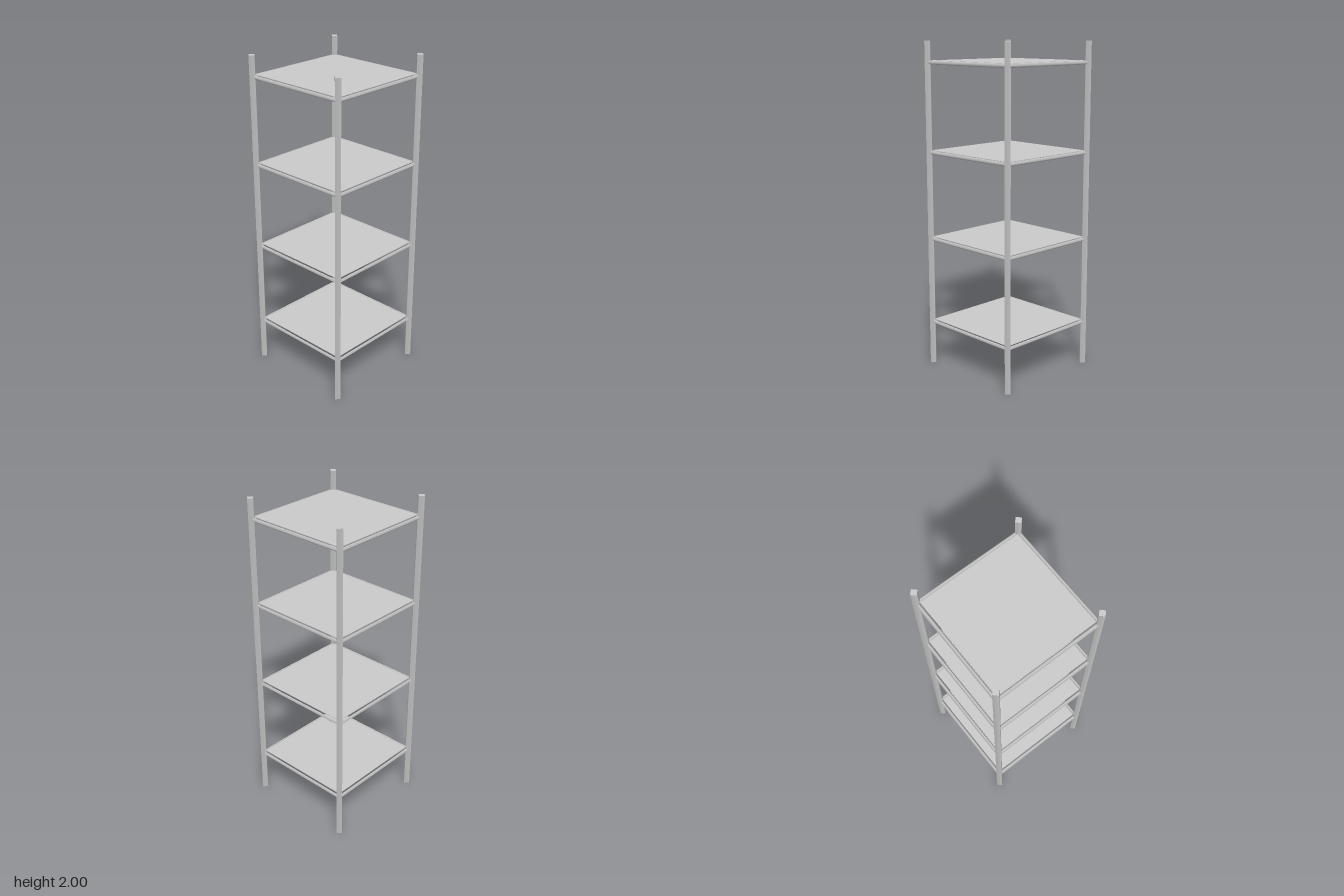
import * as THREE from 'three';

const HALF = 0.334;           // post centre offset from the middle
const SHELF_YS = [0.27, 0.805, 1.34, 1.874];

export function createModel() {
  const group = new THREE.Group();
  const material = new THREE.MeshStandardMaterial({ color: 0xcccccc });

  const add = (name, geometry, x, y, z) => {
    const mesh = new THREE.Mesh(geometry, material);
    mesh.name = name;
    mesh.position.set(x, y, z);
    group.add(mesh);
    return mesh;
  };

  // Four-sided corner posts, set diagonally, with smooth sides
  const post = new THREE.CylinderGeometry(0.0234, 0.0234, 2, 4);
  for (const x of [-1, 1]) {
    for (const z of [-1, 1]) {
      add(`${z > 0 ? 'front' : 'back'}${x > 0 ? 'Left' : 'Right'}Post`, post, x * HALF, 1, z * HALF);
    }
  }

  // Each tier: four diamond-section rails and a thin panel level with their tops
  const rail = new THREE.CylinderGeometry(0.0115, 0.0115, 2 * HALF, 4);
  const panel = new THREE.BoxGeometry(0.64, 0.003, 0.64);
  SHELF_YS.forEach((y, i) => {
    const n = i + 1;
    for (const s of [-1, 1]) {
      add(`${s > 0 ? 'front' : 'back'}Rail${n}`, rail, 0, y, s * HALF).rotation.z = Math.PI / 2;
      add(`${s > 0 ? 'left' : 'right'}Rail${n}`, rail, s * HALF, y, 0).rotation.x = Math.PI / 2;
    }
    add(`shelfPanel${n}`, panel, 0, y + 0.0105, 0);
  });

  return group;
}
